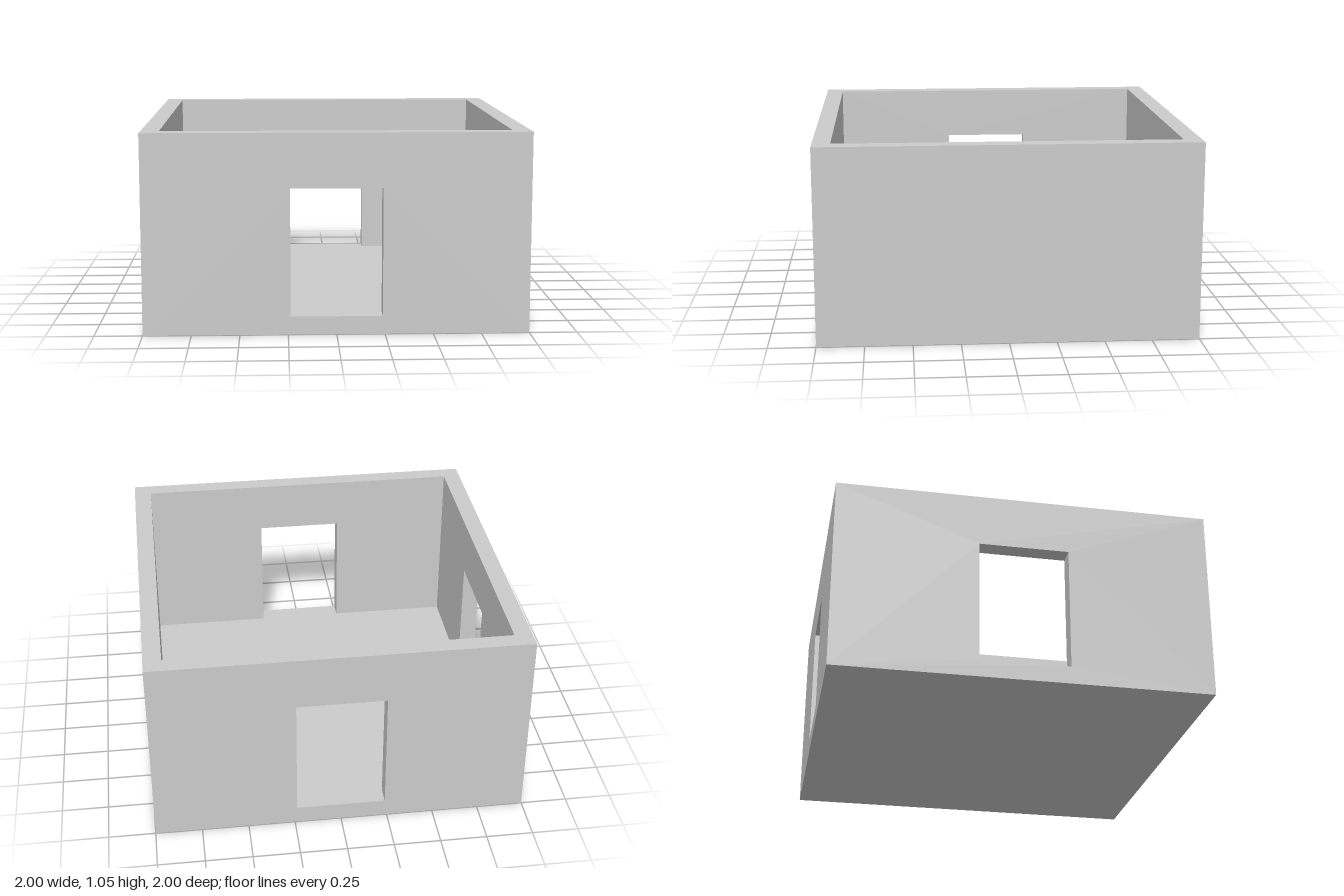
import * as THREE from 'three';
import { mergeGeometries } from 'three/addons/utils/BufferGeometryUtils.js';

// Dimensions in wall thicknesses; the whole room is 21 across
const UNIT = 2 / 21;
const OUT = 10.5, IN = 9.5, HEIGHT = 11, FLOOR = 1;
const DOOR = 2.5, DOOR_TOP = 8;

const material = new THREE.MeshStandardMaterial({ color: 0xcccccc, flatShading: true });

const points = (list) => list.map(([x, y]) => new THREE.Vector2(x, y));
const rect = (x, y0, y1) => points([[-x, y0], [x, y0], [x, y1], [-x, y1]]);

function mesh(name, geometry) {
  geometry.scale(UNIT, UNIT, UNIT);
  const m = new THREE.Mesh(geometry, material);
  m.name = name;
  return m;
}

// Outer and inner faces of a wall facing +z, plus the lining of its doorway
function wallGeometry(hasDoor) {
  const outer = new THREE.Shape(rect(OUT, 0, HEIGHT));
  let inner = new THREE.Shape(rect(IN, FLOOR, HEIGHT));
  const lining = [];
  if (hasDoor) {
    outer.holes.push(new THREE.Path(rect(DOOR, FLOOR, DOOR_TOP)));
    inner = new THREE.Shape(points([
      [-IN, FLOOR], [-DOOR, FLOOR], [-DOOR, DOOR_TOP], [DOOR, DOOR_TOP],
      [DOOR, FLOOR], [IN, FLOOR], [IN, HEIGHT], [-IN, HEIGHT],
    ]));
    const depth = OUT - IN, mid = (OUT + IN) / 2, tall = DOOR_TOP - FLOOR;
    for (const s of [-1, 1]) {
      // Jambs, then threshold and lintel underside
      lining.push(new THREE.PlaneGeometry(depth, tall).rotateY(-s * Math.PI / 2)
        .translate(s * DOOR, FLOOR + tall / 2, mid));
      lining.push(new THREE.PlaneGeometry(2 * DOOR, depth).rotateX(s * Math.PI / 2)
        .translate(0, s < 0 ? FLOOR : DOOR_TOP, mid));
    }
  }
  return mergeGeometries([
    new THREE.ShapeGeometry(outer).translate(0, 0, OUT),
    new THREE.ShapeGeometry(inner).rotateY(Math.PI).translate(0, 0, IN),
    ...lining,
  ]);
}

export function createModel() {
  const room = new THREE.Group();
  room.name = 'room';

  // Four walls, three of them with a doorway
  const walls = [
    ['frontWall', 0, true],
    ['leftWall', Math.PI / 2, false],
    ['backWall', Math.PI, true],
    ['rightWall', -Math.PI / 2, true],
  ];
  for (const [name, angle, hasDoor] of walls) {
    room.add(mesh(name, wallGeometry(hasDoor).rotateY(angle)));
  }

  // Flat top of the walls
  const rim = new THREE.Shape(rect(OUT, -OUT, OUT));
  rim.holes.push(new THREE.Path(rect(IN, -IN, IN)));
  room.add(mesh('wallTop', new THREE.ShapeGeometry(rim).rotateX(-Math.PI / 2).translate(0, HEIGHT, 0)));

  // Floor inside and underside of the slab
  room.add(mesh('floor', new THREE.PlaneGeometry(2 * IN, 2 * IN).rotateX(-Math.PI / 2).translate(0, FLOOR, 0)));
  room.add(mesh('underside', new THREE.PlaneGeometry(2 * OUT, 2 * OUT).rotateX(Math.PI / 2)));

  return room;
}
